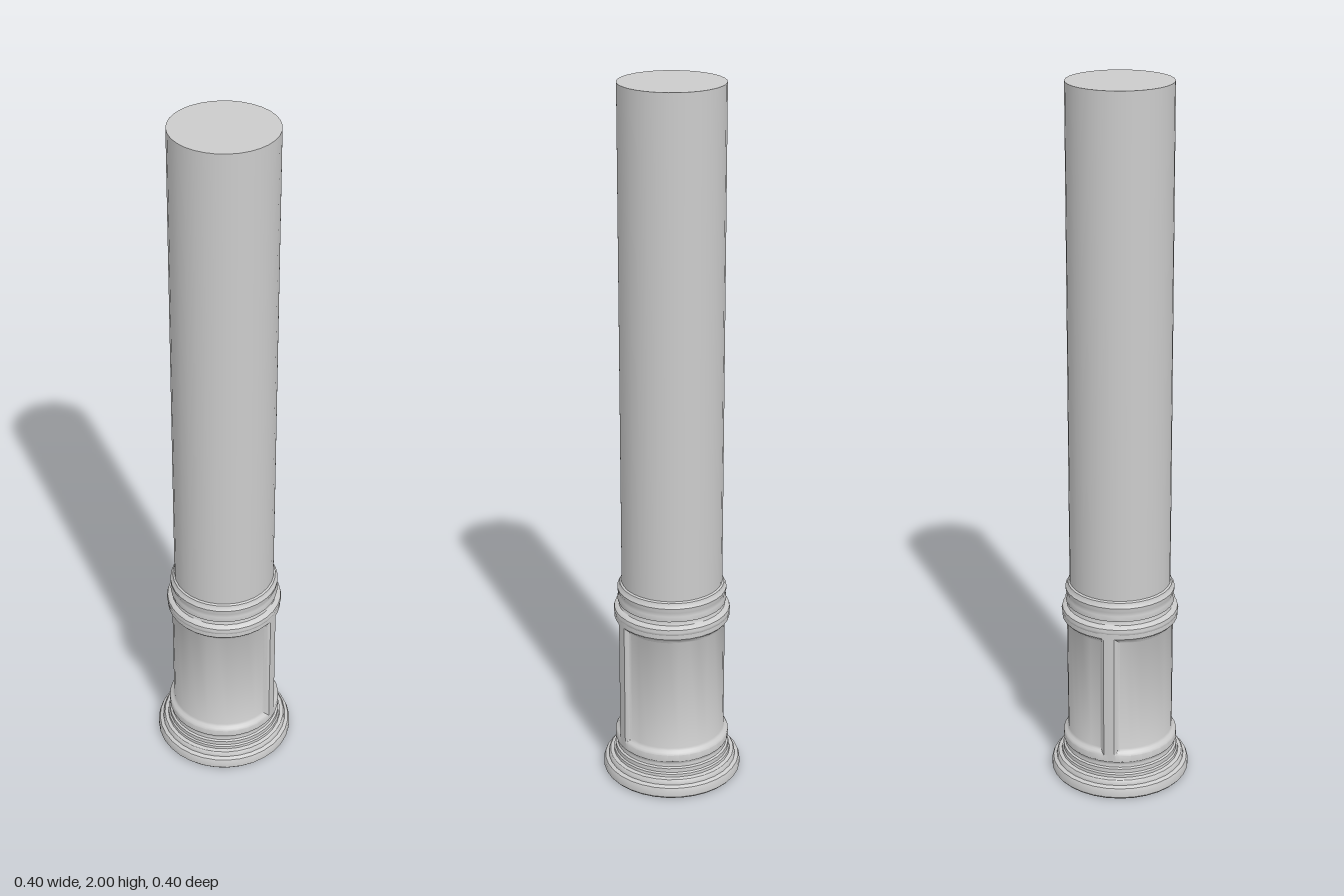
import * as THREE from 'three';
import { toCreasedNormals } from 'three/addons/utils/BufferGeometryUtils.js';
import { ParametricGeometry } from 'three/addons/geometries/ParametricGeometry.js';

const SIDES = 32;
const FRAME_R = 0.163, PANEL_R = 0.15;

const grey = new THREE.MeshStandardMaterial({ color: 0xcccccc });
const greyThin = new THREE.MeshStandardMaterial({ color: 0xcccccc, side: THREE.DoubleSide });

function addMesh(group, name, geometry, material = grey) {
  const mesh = new THREE.Mesh(geometry, material);
  mesh.name = name;
  group.add(mesh);
  return mesh;
}

// Turned moulding from [radius, height] pairs, listed bottom to top
function moulding(profile) {
  const points = profile.map(([r, y]) => new THREE.Vector2(r, y));
  return toCreasedNormals(new THREE.LatheGeometry(points, SIDES), 0.6);
}

// Curved drum with a sunken panel front and back, parted by a stile on each side
function panelDrum() {
  // [height, sunk amount inside the panel]
  const rows = [[0.1, 0], [0.12, 0], [0.126, 0.3], [0.13, 0.75], [0.137, 1],
    [0.473, 1], [0.48, 0.75], [0.485, 0.3], [0.49, 0], [0.505, 0]];
  // [angle, sunk amount] across one half turn, stile centre to stile centre
  const edge = [[0, 0], [0.09, 0], [0.125, 0.3], [0.15, 0.75], [0.19, 1]];
  const half = [...edge];
  for (let i = 1; i < 14; i++) half.push([0.19 + (Math.PI - 0.38) * i / 14, 1]);
  half.push(...edge.slice(1).reverse().map(([a, s]) => [Math.PI - a, s]));
  const cols = [...half, ...half.map(([a, s]) => [a + Math.PI, s]), [Math.PI * 2, 0]];

  const surface = (u, v, target) => {
    const [angle, sunkAcross] = cols[Math.round(u * (cols.length - 1))];
    const [y, sunkUp] = rows[Math.round(v * (rows.length - 1))];
    const r = FRAME_R - (FRAME_R - PANEL_R) * Math.min(sunkAcross, sunkUp);
    target.set(r * Math.cos(angle), y, -r * Math.sin(angle));
  };
  const geometry = new ParametricGeometry(surface, cols.length - 1, rows.length - 1);
  return toCreasedNormals(geometry, 0.6);
}

export function createModel() {
  const column = new THREE.Group();
  column.name = 'column';

  // Plain shaft running down through the base
  const shaft = addMesh(column, 'shaft', new THREE.CylinderGeometry(0.142, 0.142, 1.98, SIDES));
  shaft.position.y = 1.01;

  // Flared foot, open underneath
  addMesh(column, 'foot', moulding([
    [0.193, 0], [0.198, 0.006], [0.198, 0.022], [0.194, 0.032], [0.184, 0.037],
    [0.183, 0.046], [0.179, 0.051], [0.169, 0.054], [0.168, 0.062], [0.164, 0.066],
    [0.164, 0.078], [0.158, 0.081], [0.156, 0.088], [0.158, 0.095], [0.163, 0.102],
  ]), greyThin);

  addMesh(column, 'panelDrum', panelDrum());

  // Rounded band over the panels, then a neck
  addMesh(column, 'upperBand', moulding([
    [0.158, 0.498], [0.163, 0.503], [0.165, 0.511], [0.163, 0.519], [0.157, 0.524],
    [0.15, 0.527], [0.147, 0.534], [0.147, 0.542],
  ]), greyThin);

  // Collar gripping the shaft
  addMesh(column, 'collar', moulding([
    [0.142, 0.54], [0.153, 0.54], [0.154, 0.546], [0.151, 0.555], [0.151, 0.566],
    [0.154, 0.573], [0.154, 0.58], [0.149, 0.586], [0.147, 0.594], [0.141, 0.598],
  ]), greyThin);

  return column;
}
